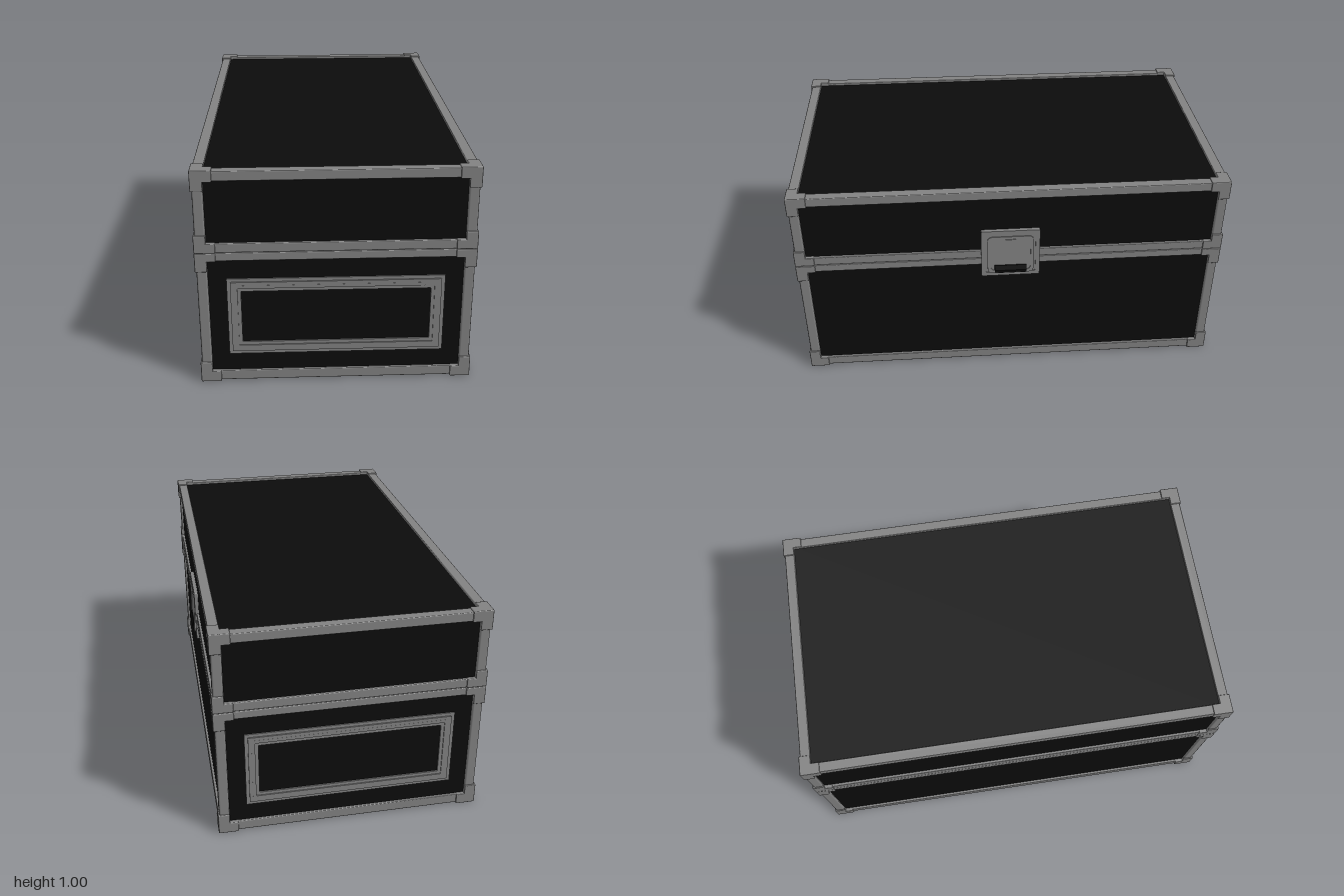
import * as THREE from 'three';
import { RoundedBoxGeometry } from 'three/addons/geometries/RoundedBoxGeometry.js';

const metal = new THREE.MeshStandardMaterial({ color: 0x838383 });
metal.name = 'grey metal';
const black = new THREE.MeshStandardMaterial({ color: 0x0c0c0c });
black.name = 'black panel';

const CX = -0.008;                 // case centre in x
const HX = 0.6, HZ = 1, TOP = 1.005; // outer size of the corner sleeves
const GAP = 0.006;                 // rails sit this far inside the sleeves
const RAIL = 0.046;
const SEAM = 0.632;

// Box given by its min and max corners, optionally with softened edges
function span(parent, name, mat, a, b, r = 0) {
  const s = b.map((v, i) => v - a[i]);
  const geo = r ? new RoundedBoxGeometry(...s, 1, r) : new THREE.BoxGeometry(...s);
  const m = new THREE.Mesh(geo, mat);
  m.name = name;
  m.position.set(...a.map((v, i) => (v + b[i]) / 2));
  parent.add(m);
  return m;
}

// Box mirrored onto the chosen sides in x and z
function sided(parent, name, sx, sz, x, y, z, r = 0) {
  const order = (s, [p, q]) => (s < 0 ? [-q, -p] : [p, q]);
  const [x0, x1] = order(sx, x), [z0, z1] = order(sz, z);
  return span(parent, name, metal, [x0, y[0], z0], [x1, y[1], z1], r);
}

function roundedRect(path, w, h, r) {
  const x = w / 2, y = h / 2;
  path.moveTo(-x + r, -y);
  path.lineTo(x - r, -y);
  path.quadraticCurveTo(x, -y, x, -y + r);
  path.lineTo(x, y - r);
  path.quadraticCurveTo(x, y, x - r, y);
  path.lineTo(-x + r, y);
  path.quadraticCurveTo(-x, y, -x, y - r);
  path.lineTo(-x, -y + r);
  path.quadraticCurveTo(-x, -y, -x + r, -y);
  return path;
}

// Rectangular frame of a given border, raised along +z
function frame(parent, name, w, h, border, depth, r) {
  const shape = roundedRect(new THREE.Shape(), w, h, r);
  if (border) shape.holes.push(roundedRect(new THREE.Path(), w - 2 * border, h - 2 * border, r));
  const geo = new THREE.ExtrudeGeometry(shape, { depth, bevelEnabled: false, curveSegments: 4 });
  const m = new THREE.Mesh(geo, metal);
  m.name = name;
  parent.add(m);
  return m;
}

function buildShell(g) {
  const px = HX - 0.018, pz = HZ - 0.018;
  span(g, 'lowerBox', black, [-px, 0.016, -pz], [px, SEAM, pz]);
  span(g, 'lid', black, [-px, SEAM, -pz], [px, TOP - 0.018, pz]);
}

function buildRails(g) {
  const x = HX - GAP, z = HZ - GAP;
  // edge rails and the double band around the seam
  const levels = [[0.005, 0.005 + RAIL], [0.594, SEAM - 0.001], [SEAM + 0.001, 0.675], [0.956, 0.999]];
  for (const y of levels) {
    for (const s of [-1, 1]) {
      sided(g, 'sideRail', s, 1, [x - RAIL, x], y, [-z, z], 0.004);
      sided(g, 'endRail', 1, s, [-x, x], y, [z - RAIL, z], 0.004);
    }
  }
  for (const sx of [-1, 1]) for (const sz of [-1, 1]) {
    sided(g, 'uprightRail', sx, sz, [x - RAIL, x], [0.01, 0.995], [z - RAIL, z], 0.008);
  }
}

function buildCorners(g) {
  const T = 0.052, L = 0.09;
  // [horizontal sleeve heights], [upright sleeve heights]
  const sets = [
    [[0, T], [0, 0.098]],
    [[0.592, SEAM - 0.001], [0.545, SEAM - 0.001]],
    [[SEAM + 0.001, 0.677], [SEAM + 0.001, 0.714]],
    [[TOP - T, TOP], [0.912, TOP]],
  ];
  for (const sx of [-1, 1]) for (const sz of [-1, 1]) for (const [flat, up] of sets) {
    const corner = new THREE.Group();
    corner.name = 'cornerGuard';
    sided(corner, 'uprightSleeve', sx, sz, [HX - T, HX], up, [HZ - T, HZ], 0.004);
    sided(corner, 'endSleeve', sx, sz, [HX - L, HX], flat, [HZ - T, HZ], 0.004);
    sided(corner, 'sideSleeve', sx, sz, [HX - T, HX], flat, [HZ - L, HZ], 0.004);
    g.add(corner);
  }
}

// Stepped rectangular surround on each end
function buildEndFrames(g) {
  for (const s of [1, -1]) {
    const end = new THREE.Group();
    end.name = s > 0 ? 'frontFrame' : 'backFrame';
    const steps = [0.005, 0.010, 0.010, 0.005];
    steps.forEach((d, i) => {
      const inset = i * 0.015;
      frame(end, 'frameStep', 0.94 - 2 * inset, 0.37 - 2 * inset, 0.015, d + i * 0.0004, 0.004);
    });
    end.position.set(0, 0.32, s * (HZ - 0.018));
    if (s < 0) end.rotation.y = Math.PI;
    g.add(end);
  }
}

// Latch on the left side, facing +x
function buildLatch(g) {
  const latch = new THREE.Group();
  latch.name = 'latch';
  latch.position.set(HX - 0.018, 0.658, 0.002);
  latch.rotation.y = Math.PI / 2;

  frame(latch, 'backPlate', 0.27, 0.252, 0, 0.0135, 0.008);
  frame(latch, 'plateRim', 0.274, 0.256, 0.02, 0.018, 0.008);
  const lever = frame(latch, 'lever', 0.2, 0.19, 0, 0.006, 0.02);
  lever.position.set(0, -0.006, 0.013);
  const rim = frame(latch, 'leverRim', 0.216, 0.2, 0.014, 0.009, 0.025);
  rim.position.set(0, -0.006, 0.0135);
  lever.rotation.x = rim.rotation.x = -0.05;
  const slot = span(latch, 'leverSlot', metal, [-0.025, 0.072, 0.012], [0.025, 0.078, 0.019]);
  slot.rotation.x = -0.05;

  // wedge-shaped finger grip
  const profile = new THREE.Shape([[0.012, -0.112], [0.026, -0.108], [0.034, -0.087], [0.026, -0.064], [0.012, -0.063]]
    .map(([x, y]) => new THREE.Vector2(x, y)));
  const geo = new THREE.ExtrudeGeometry(profile, { depth: 0.15, bevelEnabled: false });
  geo.translate(0, 0, -0.075);
  geo.rotateY(-Math.PI / 2);
  const grip = new THREE.Mesh(geo, black);
  grip.name = 'latchGrip';
  latch.add(grip);
  g.add(latch);
}

export function createModel() {
  const model = new THREE.Group();
  model.name = 'flightCase';
  const body = new THREE.Group();
  body.name = 'caseBody';
  body.position.x = CX;
  model.add(body);
  buildShell(body);
  buildRails(body);
  buildCorners(body);
  buildEndFrames(body);
  buildLatch(body);
  return model;
}
